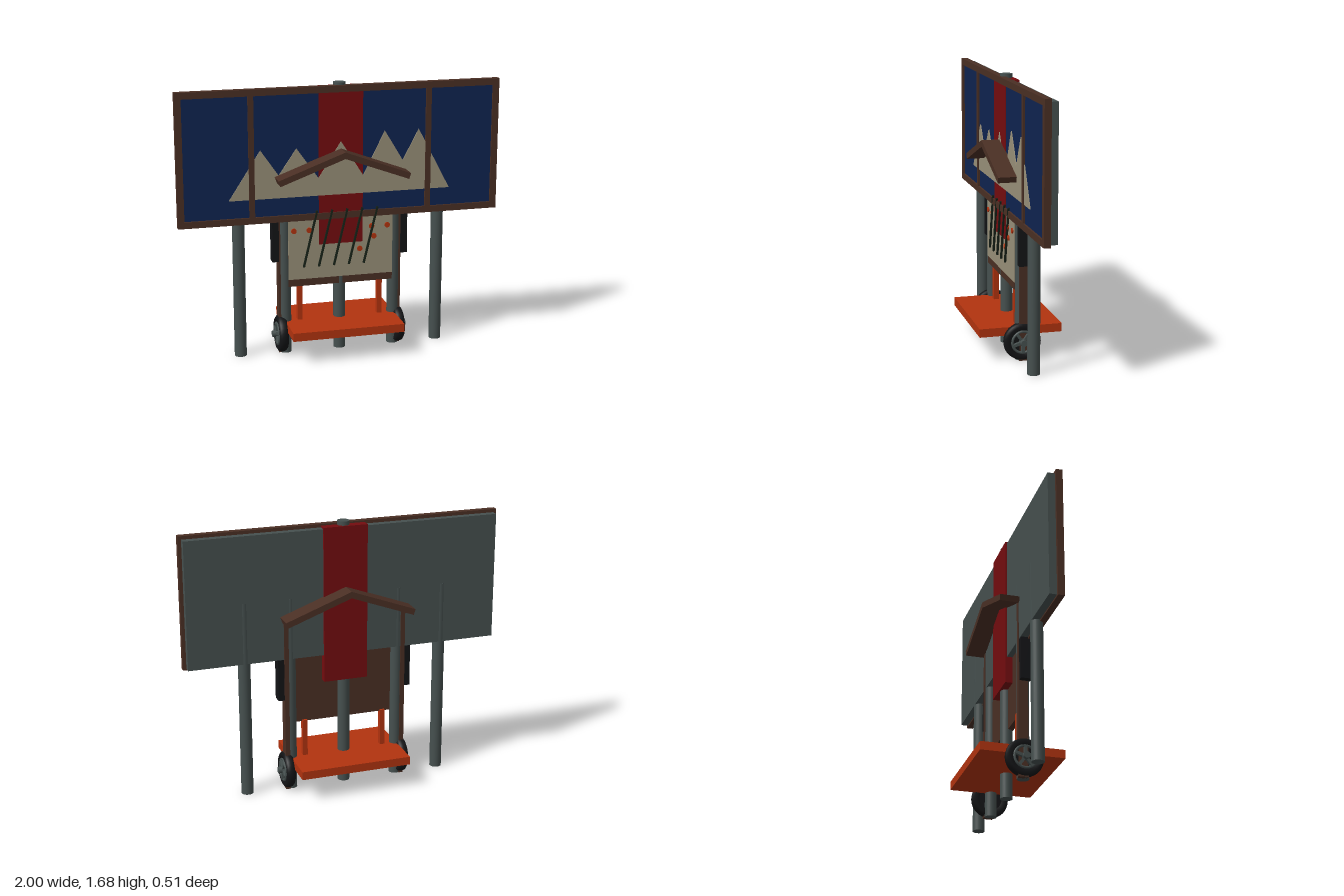
import * as THREE from 'three';

const mat = (name, color) => Object.assign(new THREE.MeshStandardMaterial({ color }), { name });

export function createModel() {
  const brown = mat('brown wood', 0x4a2f24);
  const blue = mat('night blue', 0x0f2450);
  const red = mat('dark red', 0x740c0f);
  const cream = mat('cream', 0x999079);
  const grey = mat('steel grey', 0x46504f);
  const orange = mat('orange', 0xb2330f);
  const black = mat('black rubber', 0x131416);
  const green = mat('dark green', 0x182218);

  const model = new THREE.Group();
  const add = (name, geo, material, x = 0, y = 0, z = 0, parent = model) => {
    const m = new THREE.Mesh(geo, material);
    m.name = name;
    m.position.set(x, y, z);
    parent.add(m);
    return m;
  };
  // box given by its limits on each axis
  const box = (name, material, x0, x1, y0, y1, z0, z1) => add(name,
    new THREE.BoxGeometry(x1 - x0, y1 - y0, z1 - z0), material,
    (x0 + x1) / 2, (y0 + y1) / 2, (z0 + z1) / 2);
  const post = (name, x, r, h) =>
    add(name, new THREE.CylinderGeometry(r, r, h, 24), grey, x, h / 2, 0);

  // big sign board and its frame
  box('boardBack', grey, -0.98, 0.98, 0.86, 1.65, -0.035, 0.012);
  box('boardFace', blue, -0.97, 0.97, 0.88, 1.64, 0.012, 0.038);
  box('frameTop', brown, -1, 1, 1.63, 1.67, 0.01, 0.05);
  box('frameBottom', brown, -1, 1, 0.85, 0.89, 0.01, 0.05);
  for (const s of [-1, 1]) {
    box('frameSide', brown, s * 0.98 - 0.02, s * 0.98 + 0.02, 0.89, 1.63, 0.01, 0.05);
    box('frameDivider', brown, s * 0.55 - 0.017, s * 0.55 + 0.017, 0.89, 1.63, 0.03, 0.05);
  }

  // red vertical banner through the board
  box('banner', red, -0.138, 0.138, 0.69, 1.66, -0.046, 0.041);

  // mountain silhouette
  const ridge = [[-0.69, 1], [0.69, 1], [0.49, 1.38], [0.39, 1.19], [0.275, 1.38], [0.14, 1.11],
    [0, 1.33], [-0.14, 1.11], [-0.275, 1.3], [-0.385, 1.14], [-0.495, 1.3]];
  const mountainShape = new THREE.Shape(ridge.map(([x, y]) => new THREE.Vector2(x, y)));
  add('mountains', new THREE.ExtrudeGeometry(mountainShape, { depth: 0.006, bevelEnabled: false }),
    cream, 0, 0, 0.038);

  // posts
  post('centrePost', 0, 0.0375, 1.685);
  for (const s of [-1, 1]) {
    post('outerPost', s * 0.63, 0.0375, 1.24);
    post('innerPost', s * 0.345, 0.0365, 1.24);
    box('roofPost', brown, s * 0.375 - 0.014, s * 0.375 + 0.014, 0, 1.13, -0.039, 0.02);
  }

  // gabled roof: two sloping slabs meeting at the ridge
  const roofShape = new THREE.Shape([[0, 1.285], [-0.41, 1.133], [-0.398, 1.098], [0, 1.245],
    [0.398, 1.098], [0.41, 1.133]].map(([x, y]) => new THREE.Vector2(x, y)));
  add('roof', new THREE.ExtrudeGeometry(roofShape, { depth: 0.31, bevelEnabled: false }),
    brown, 0, 0, -0.155);

  // lower notice panel
  box('noticeBacking', brown, -0.33, 0.33, 0.43, 0.86, 0, 0.034);
  box('noticeFace', cream, -0.33, 0.33, 0.475, 0.86, 0.034, 0.0385);
  box('noticeRail', brown, -0.33, 0.33, 0.43, 0.475, 0.02, 0.036);
  for (const [x, y] of [[-0.295, 0.785], [-0.2, 0.785], [0.195, 0.785], [0.295, 0.785],
    [0.21, 0.72], [0.12, 0.645]]) {
    const dot = add('berryDot', new THREE.CylinderGeometry(0.017, 0.017, 0.008, 16), orange, x, y, 0.041);
    dot.rotation.x = Math.PI / 2;
  }
  for (let i = 0; i < 5; i++) {
    const stick = add('slantedStick', new THREE.BoxGeometry(0.012, 0.365, 0.012), green,
      -0.193 + i * 0.095, 0.73, 0.046);
    stick.rotation.z = -0.235;
  }

  // black side boxes
  for (const s of [-1, 1])
    box('sideBox', black, s * 0.407 - 0.02, s * 0.407 + 0.02, 0.595, 0.87, -0.033, 0.033);

  // orange platform and its hangers
  box('platform', orange, -0.35, 0.35, 0.153, 0.205, -0.255, 0.255);
  for (const s of [-1, 1])
    box('platformHanger', orange, s * 0.255 - 0.015, s * 0.255 + 0.015, 0.2, 0.44, -0.015, 0.02);

  // wheels: lathed tyre, rim ring, hub and five spokes
  const tyreProfile = [[0.07, -0.022], [0.098, -0.029], [0.112, -0.018], [0.115, 0],
    [0.112, 0.018], [0.098, 0.029], [0.07, 0.022], [0.07, -0.022]]
    .map(([r, y]) => new THREE.Vector2(r, y));
  for (const s of [-1, 1]) {
    const wheel = new THREE.Group();
    wheel.name = 'wheel';
    wheel.position.set(s * 0.373, 0.12, 0);
    wheel.rotation.z = -s * Math.PI / 2;
    model.add(wheel);
    add('tyre', new THREE.LatheGeometry(tyreProfile, 32), black, 0, 0, 0, wheel);
    add('rimDisc', new THREE.CylinderGeometry(0.07, 0.07, 0.024, 28), black, 0, 0, 0, wheel);
    const rim = add('rim', new THREE.TorusGeometry(0.066, 0.008, 8, 28), grey, 0, 0.024, 0, wheel);
    rim.rotation.x = Math.PI / 2;
    add('hub', new THREE.CylinderGeometry(0.02, 0.022, 0.055, 16), grey, 0, 0.029, 0, wheel);
    for (let i = 0; i < 5; i++) {
      const a = i * Math.PI * 2 / 5;
      const spoke = add('spoke', new THREE.BoxGeometry(0.055, 0.02, 0.018), grey,
        Math.cos(a) * 0.04, 0.025, -Math.sin(a) * 0.04, wheel);
      spoke.rotation.y = a;
    }
  }
  return model;
}
